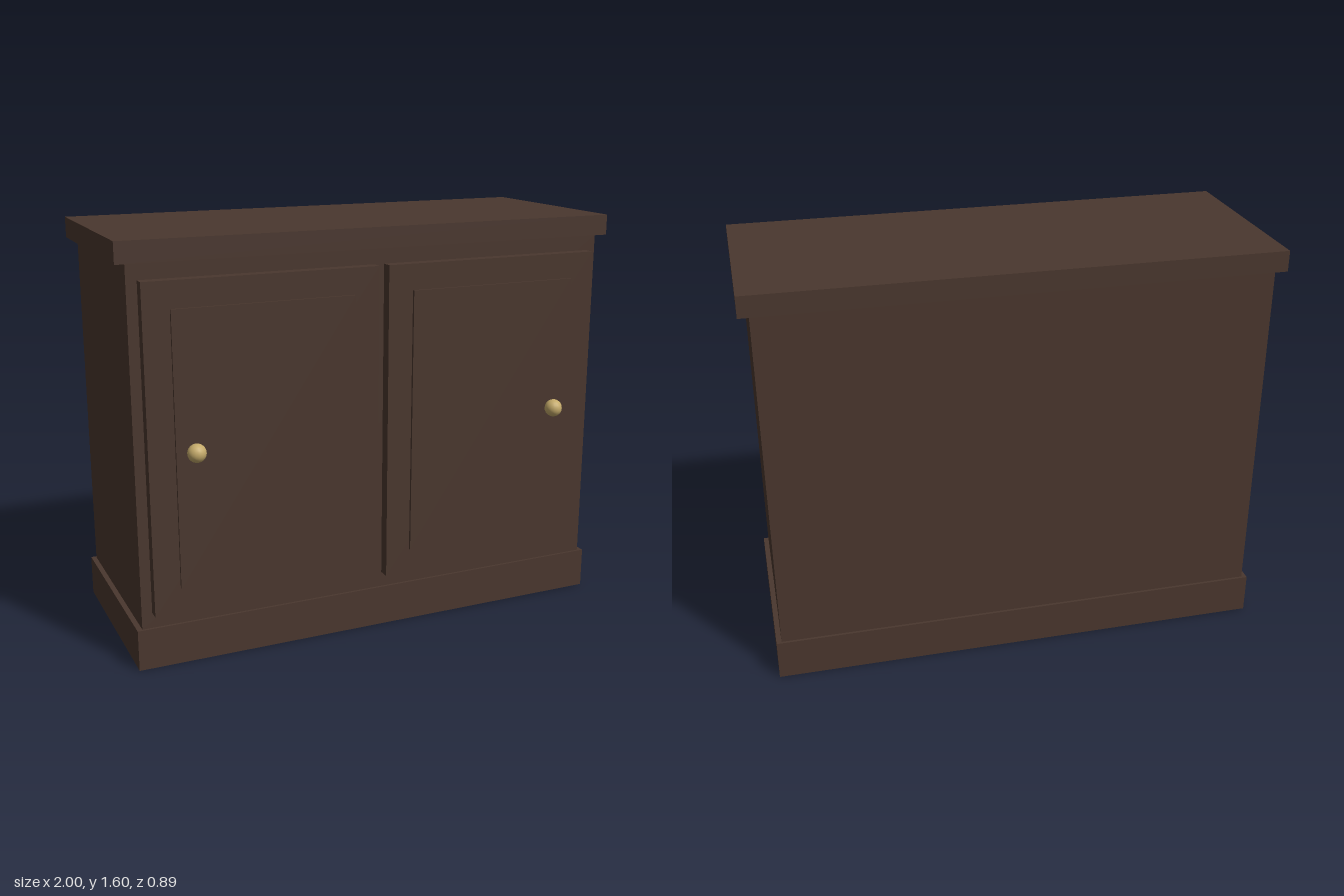
import * as THREE from 'three';

export function createModel() {
  const group = new THREE.Group();
  const wood = new THREE.MeshStandardMaterial({ color: 0x4a372e });
  wood.name = 'dark wood';
  const brass = new THREE.MeshStandardMaterial({ color: 0xc4aa6a });
  brass.name = 'brass';

  // Box given by its limits on each axis
  const box = (name, [x0, x1], [y0, y1], [z0, z1]) => {
    const mesh = new THREE.Mesh(new THREE.BoxGeometry(x1 - x0, y1 - y0, z1 - z0), wood);
    mesh.position.set((x0 + x1) / 2, (y0 + y1) / 2, (z0 + z1) / 2);
    mesh.name = name;
    return mesh;
  };

  // Carcass
  group.add(
    box('plinth', [-0.98, 0.98], [0, 0.16], [-0.435, 0.345]),
    box('cabinetBody', [-0.96, 0.96], [0.16, 1.52], [-0.425, 0.335]),
    box('worktop', [-1, 1], [1.52, 1.6], [-0.445, 0.355])
  );

  // Doors with raised panels and round knobs, mirrored about the middle
  for (const [side, s] of [['left', 1], ['right', -1]]) {
    const span = (a, b) => (s > 0 ? [a, b] : [-b, -a]);
    const door = new THREE.Group();
    door.name = side + 'Door';
    const knob = new THREE.Mesh(new THREE.SphereGeometry(0.035, 16, 12), brass);
    knob.position.set(s * 0.75, 0.84, 0.411);
    knob.name = side + 'Knob';
    door.add(
      box(side + 'DoorSlab', span(0.02, 0.92), [0.22, 1.46], [0.335, 0.38]),
      box(side + 'DoorPanel', span(0.12, 0.82), [0.32, 1.36], [0.38, 0.39]),
      knob
    );
    group.add(door);
  }
  return group;
}
